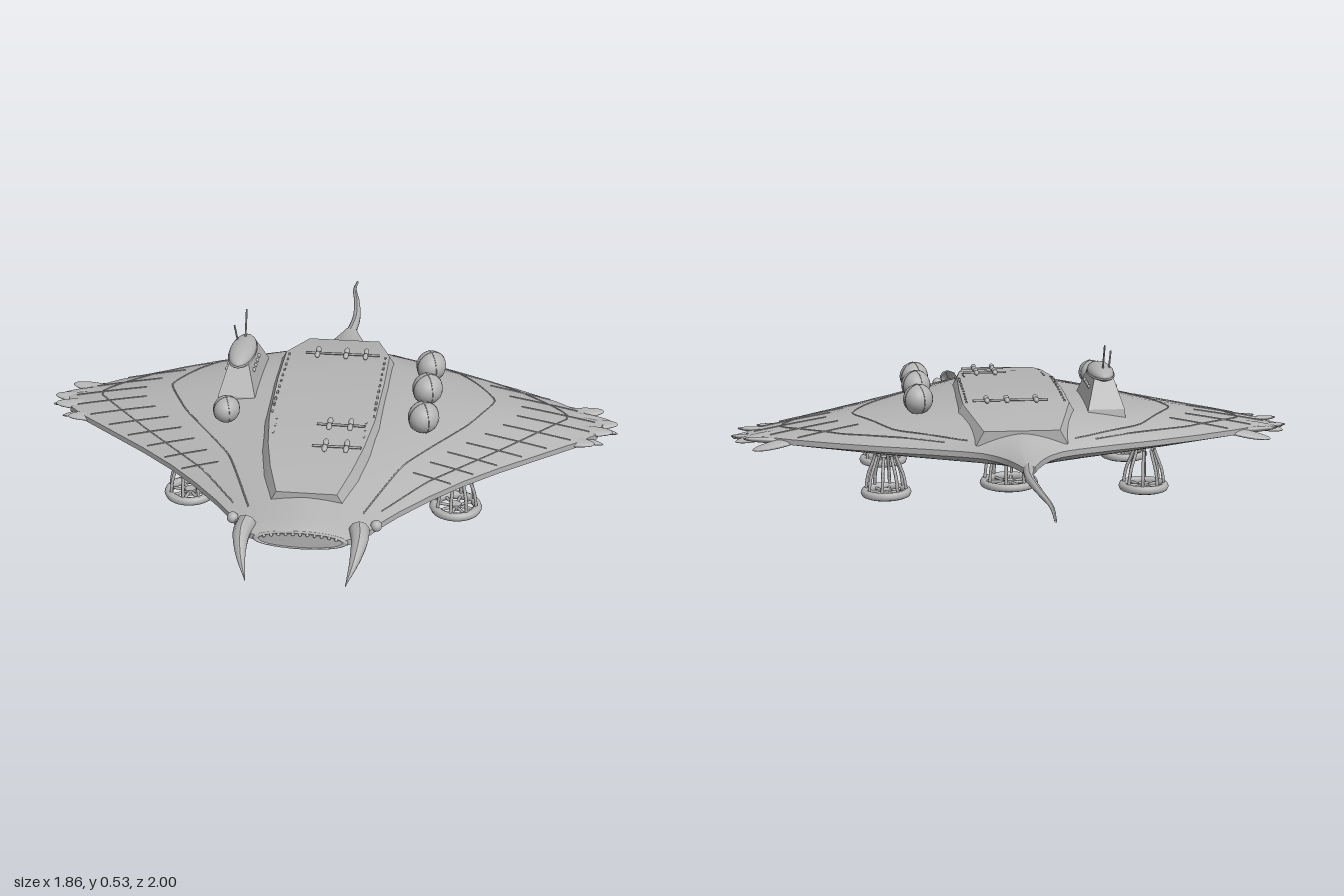
import * as THREE from 'three';
import { toCreasedNormals } from 'three/addons/utils/BufferGeometryUtils.js';

const V = (x, y, z) => new THREE.Vector3(x, y, z);
const hullGrey = new THREE.MeshStandardMaterial({ color: 0xb4b4b4, side: THREE.DoubleSide });
hullGrey.name = 'hullGrey';

// Hull stations: z, half width, top, bottom, rim height
const STATIONS = [
  [-0.52, 0.018, 0.258, 0.226, 0.242], [-0.47, 0.035, 0.262, 0.222, 0.242], [-0.42, 0.056, 0.27, 0.217, 0.241],
  [-0.37, 0.085, 0.281, 0.209, 0.24], [-0.33, 0.125, 0.293, 0.203, 0.24], [-0.3, 0.175, 0.303, 0.198, 0.239],
  [-0.25, 0.3, 0.316, 0.191, 0.238], [-0.2, 0.44, 0.328, 0.185, 0.237], [-0.13, 0.6, 0.34, 0.177, 0.235],
  [-0.06, 0.73, 0.346, 0.171, 0.232], [0.01, 0.83, 0.346, 0.167, 0.228], [0.07, 0.88, 0.346, 0.166, 0.225],
  [0.14, 0.86, 0.346, 0.165, 0.225], [0.2, 0.8, 0.344, 0.165, 0.226], [0.3, 0.68, 0.34, 0.167, 0.228],
  [0.4, 0.56, 0.335, 0.17, 0.23], [0.5, 0.45, 0.325, 0.174, 0.231], [0.6, 0.355, 0.312, 0.178, 0.231],
  [0.7, 0.27, 0.295, 0.183, 0.23], [0.77, 0.22, 0.28, 0.188, 0.23], [0.82, 0.19, 0.271, 0.192, 0.23],
  [0.855, 0.16, 0.263, 0.198, 0.23], [0.875, 0.13, 0.252, 0.207, 0.23],
];
const RIM = 0.009;

function station(z) {
  let i = 0;
  while (i < STATIONS.length - 2 && STATIONS[i + 1][0] < z) i++;
  const a = STATIONS[i], b = STATIONS[i + 1], t = (z - a[0]) / (b[0] - a[0]);
  return a.map((v, k) => v + (b[k] - v) * t);
}
function topY(x, z) {
  const [, w, top, , rim] = station(z);
  const u = Math.min(1, Math.abs(x) / w);
  return rim + RIM + (top - rim - RIM) * (1 - u ** 1.6);
}

// Skin closed rings (counter-clockwise seen from +z, ordered by z)
function loft(rings, crease) {
  const n = rings[0].length, pos = [], idx = [];
  rings.forEach(r => r.forEach(p => pos.push(p.x, p.y, p.z)));
  for (let i = 0; i < rings.length - 1; i++) for (let j = 0; j < n; j++) {
    const k = (j + 1) % n, a = i * n + j, b = i * n + k;
    idx.push(a, b, b + n, a, b + n, a + n);
  }
  [0, rings.length - 1].forEach((i, end) => {
    const c = V(0, 0, 0);
    rings[i].forEach(p => c.addScaledVector(p, 1 / n));
    const m = pos.length / 3;
    pos.push(c.x, c.y, c.z);
    for (let j = 0; j < n; j++) {
      const a = i * n + j, b = i * n + (j + 1) % n;
      idx.push(m, end ? a : b, end ? b : a);
    }
  });
  const g = new THREE.BufferGeometry();
  g.setAttribute('position', new THREE.Float32BufferAttribute(pos, 3));
  g.setIndex(idx);
  return toCreasedNormals(g, crease);
}

// Tube whose radius shrinks along its path
function taperTube(points, r, factor, seg = 20, sides = 10) {
  const curve = new THREE.CatmullRomCurve3(points);
  const g = new THREE.TubeGeometry(curve, seg, r, sides);
  const p = g.attributes.position, v = V(0, 0, 0);
  for (let i = 0; i < p.count; i++) {
    const t = Math.floor(i / (sides + 1)) / seg, c = curve.getPointAt(t);
    v.fromBufferAttribute(p, i).sub(c).multiplyScalar(factor(t)).add(c);
    p.setXYZ(i, v.x, v.y, v.z);
  }
  g.computeVertexNormals();
  return g;
}

export function createModel() {
  const model = new THREE.Group();
  const add = (name, geo, x = 0, y = 0, z = 0, parent = model) => {
    const m = new THREE.Mesh(geo, hullGrey);
    m.name = name;
    m.position.set(x, y, z);
    parent.add(m);
    return m;
  };
  const ball = (name, x, y, z, rx, ry, rz, parent) => {
    const m = add(name, new THREE.SphereGeometry(1, 20, 14), x, y, z, parent);
    m.scale.set(rx, ry, rz);
    return m;
  };
  const rod = (name, a, b, r, parent) =>
    add(name, new THREE.TubeGeometry(new THREE.LineCurve3(a, b), 1, r, 6), 0, 0, 0, parent);

  // Ray-shaped body
  const N = 28;
  add('hull', loft(STATIONS.map(([z, w, top, bottom, rim]) => {
    const ring = [];
    for (const s of [1, -1]) for (let j = 0; j <= N; j++) {
      const u = s * Math.cos(Math.PI * j / N), e = rim + s * RIM;
      const y = s > 0 ? e + (top - e) * (1 - Math.abs(u) ** 1.6) : e + (bottom - e) * (1 - Math.abs(u) ** 2);
      ring.push(V(u * w, y, z));
    }
    return ring;
  }), 0.6));

  // Raised deck with sloping sides
  const deckRows = [[-0.3, 0.145, 0.312], [-0.1, 0.198, 0.356], [0.1, 0.198, 0.358], [0.35, 0.19, 0.35],
    [0.5, 0.172, 0.34], [0.62, 0.148, 0.326], [0.73, 0.115, 0.304]];
  add('deck', loft(deckRows.map(([z, w, y]) =>
    [V(w, y - 0.045, z), V(w - 0.025, y, z), V(25e-3 - w, y, z), V(-w, y - 0.045, z)]), 0.3));
  for (const s of [1, -1]) for (let i = 0; i < 14; i++) {
    const z = -0.08 + i * 0.04;
    add('deckRivet', new THREE.BoxGeometry(0.006, 0.008, 0.012), s * (z > 0.35 ? 0.14 : 0.16), z > 0.3 ? 0.351 - (z - 0.3) * 0.07 : 0.357, z);
  }

  // Deck guns on cross bars
  for (const [z, y, xs] of [[-0.085, 0.364, [-0.065, 0.03, 0.095]], [0.395, 0.356, [0.03, 0.095]], [0.515, 0.346, [0.03, 0.095]]]) {
    rod('gunBar', V(xs[0] - 0.04, y, z), V(0.14, y, z), 0.004);
    for (const x of xs) {
      ball('gun', x, y + 0.003, z + 0.018, 0.009, 0.009, 0.018);
      ball('gun', x, y + 0.003, z - 0.018, 0.009, 0.009, 0.018);
    }
  }

  // Domes with crossing bands
  for (const [x, z, r] of [[0.315, -0.035, 0.05], [0.315, 0.145, 0.05], [0.315, 0.325, 0.05], [-0.302, 0.34, 0.043]]) {
    const g = new THREE.Group();
    g.name = 'dome';
    g.position.set(x, z > 0.1 && z < 0.2 ? 0.37 : 0.362, z);
    g.scale.set(r, r, r * 1.15);
    model.add(g);
    ball('domeShell', 0, 0, 0, 0.98, 0.98, 0.98, g);
    for (const a of [0.5, 2]) {
      add('domeBand', new THREE.TorusGeometry(0.98, 0.025, 4, 28), 0, 0, 0, g).rotation.y = a;
    }
  }

  // Conning tower on the right side
  const slab = (y, hw, z0, z1) => [V(-hw, y, z0), V(-hw, y, z1), V(hw, y, z1), V(hw, y, z0)];
  const tower = new THREE.Group();
  tower.name = 'tower';
  tower.position.x = -0.295;
  model.add(tower);
  add('towerBase', loft([slab(0.3, 0.062, -0.11, 0.2), slab(0.33, 0.06, -0.105, 0.195), slab(0.425, 0.03, -0.035, 0.13)], 0.2), 0, 0, 0, tower);
  ball('towerCap', 0, 0.425, 0.05, 0.043, 0.027, 0.115, tower);
  add('towerRim', new THREE.TorusGeometry(1, 0.06, 6, 28).rotateX(Math.PI / 2).scale(0.043, 0.06, 0.112), 0, 0.42, 0.05, tower);
  for (const s of [1, -1]) for (let i = 0; i < 4; i++) ball('porthole', s * 0.044, 0.385, i * 0.035, 0.006, 0.007, 0.007, tower);
  rod('antenna', V(0, 0.44, -0.005), V(0, 0.53, -0.047), 0.003, tower);
  rod('antenna', V(-0.022, 0.435, 0.01), V(-0.03, 0.5, 0.022), 0.003, tower);

  // Tail
  add('tail', taperTube([V(0, 0.242, -0.5), V(0.008, 0.245, -0.62), V(-0.004, 0.245, -0.76), V(-0.026, 0.235, -0.9), V(-0.026, 0.222, -1)],
    0.018, t => 1 - 0.8 * t, 30));

  // Mouth lip
  add('mouthLip', new THREE.TorusGeometry(1, 0.07, 8, 36).scale(0.13, 0.026, 0.1), 0, 0.23, 0.873);
  for (let i = -5; i <= 5; i++) ball('tooth', i * 0.021, 0.23 + 0.022 * Math.sqrt(1 - (i / 6) ** 2), 0.878, 0.005, 0.005, 0.006);

  for (const s of [1, -1]) {
    // Tusks and eyes
    add('tusk', taperTube([V(s * 0.165, 0.245, 0.82), V(s * 0.172, 0.24, 0.87), V(s * 0.164, 0.21, 0.94), V(s * 0.144, 0.163, 0.998)],
      0.03, t => Math.max(0.04, 1 - t ** 1.4), 16, 9));
    ball('eye', s * 0.212, 0.24, 0.785, 0.017, 0.017, 0.017);

    // Layered feathers at the wing tip
    for (let i = 0; i < 8; i++) {
      const z = -0.04 + i * 0.032, tip = 0.93 - 0.9 * Math.max(0, Math.abs(z - 0.07) - 0.03);
      const f = ball('wingFeather', s * (tip - 0.09), 0.223 + 0.005 * (i % 3), z, 0.09, 0.01, 0.024);
      f.rotation.set((i % 2 ? 1 : -1) * 0.25, s * (z - 0.07) * -1.5, s * (i % 2 ? 0.07 : -0.16));
    }

    // Seams and planks lying on the wing
    const seam = pts => {
      const curve = new THREE.CatmullRomCurve3(pts.map(([x, z]) => V(x, 0, z)), false, 'catmullrom', 0.2);
      const on = curve.getPoints(24).map(p => V(s * p.x, topY(p.x, p.z) + 0.001, p.z));
      add('wingSeam', new THREE.TubeGeometry(new THREE.CatmullRomCurve3(on), 48, 0.0025, 4));
    };
    seam([[0.17, -0.27], [0.4, -0.14], [0.53, 0.06], [0.45, 0.24], [0.27, 0.5], [0.17, 0.75]]);
    seam([[0.24, -0.25], [0.56, -0.1], [0.77, 0.07], [0.58, 0.3], [0.35, 0.54], [0.22, 0.72]]);
    for (let z = -0.06; z < 0.55; z += 0.065) {
      const w = station(z)[1];
      seam([[w * 0.7, z], [w * 0.84, z], [w * 0.97, z]]);
    }
  }

  // Landing wheels hung below on bowed struts
  const pod = (x, z, y, R) => {
    const g = new THREE.Group();
    g.name = 'landingPod';
    g.position.set(x, y, z);
    model.add(g);
    add('podRing', new THREE.TorusGeometry(R - 0.014, 0.014, 8, 32).rotateX(Math.PI / 2), 0, 0.014, 0, g);
    add('podHub', new THREE.CylinderGeometry(0.018, 0.018, 0.018, 14), 0, 0.014, 0, g);
    const h = 0.19 - y;
    for (let i = 0; i < 8; i++) {
      const c = Math.cos(i * Math.PI / 4 + 0.2), d = Math.sin(i * Math.PI / 4 + 0.2), r = R - 0.016;
      rod('podSpoke', V(0, 0.014, 0), V(c * r, 0.014, d * r), 0.005, g);
      add('podStrut', new THREE.TubeGeometry(new THREE.CatmullRomCurve3([V(c * r, 0.02, d * r),
        V(c * r * 0.88, h * 0.5, d * r * 0.88), V(c * r * 0.58, h * 0.88, d * r * 0.58), V(c * r * 0.5, h, d * r * 0.5)]), 10, 0.0055, 6), 0, 0, 0, g);
    }
  };
  pod(0, 0.17, 0.005, 0.1);
  for (const x of [-0.425, 0.425]) for (const z of [0.35, -0.08]) pod(x, z, 0.05, 0.083);

  return model;
}
